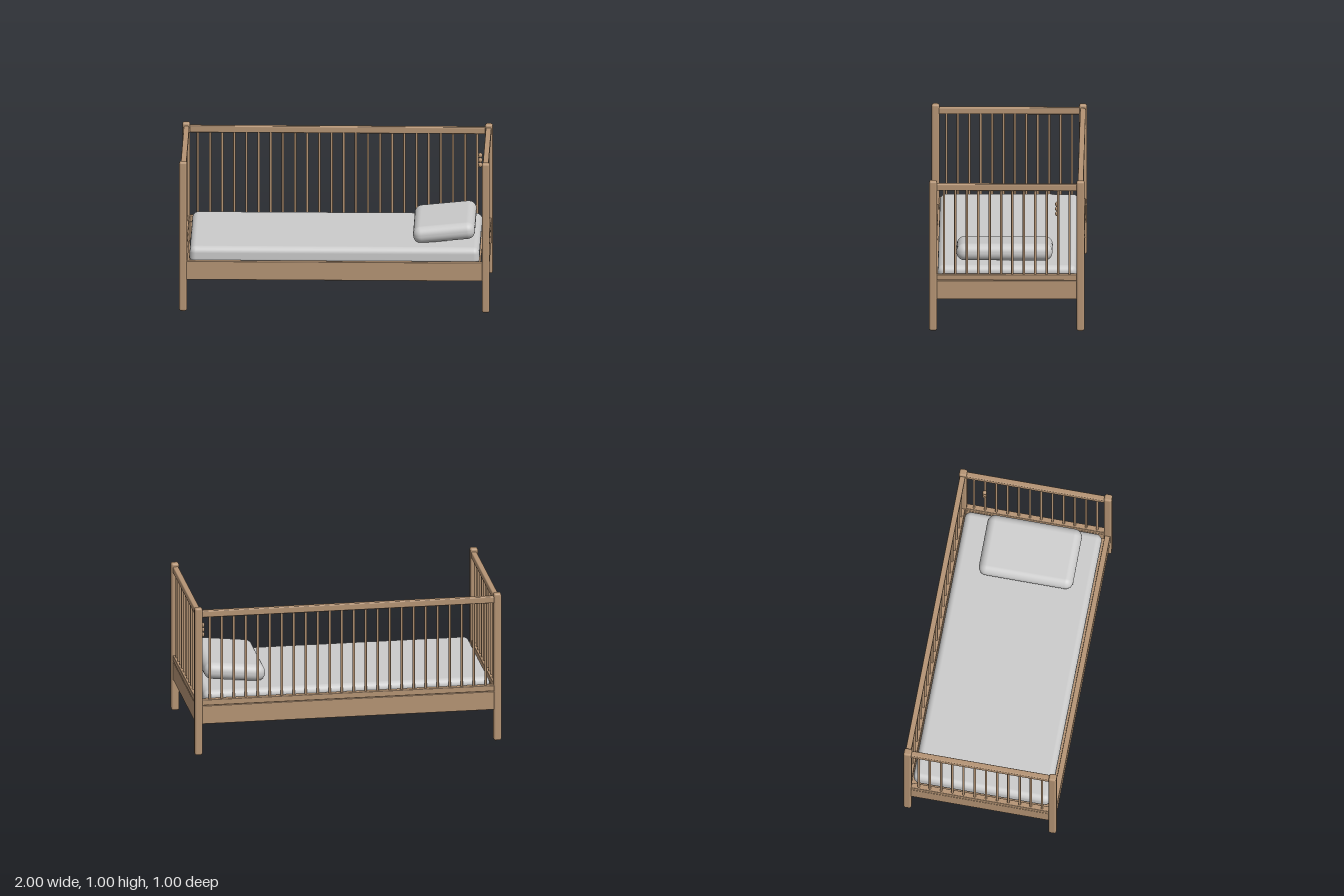
import * as THREE from 'three';
import { RoundedBoxGeometry } from 'three/addons/geometries/RoundedBoxGeometry.js';

export function createModel() {
  const bed = new THREE.Group();
  bed.name = 'toddlerBed';
  const wood = new THREE.MeshStandardMaterial({ color: 0xb59474 });
  const fabric = new THREE.MeshStandardMaterial({ color: 0xcccccc });

  function add(name, geometry, material, x, y, z, parent = bed) {
    const mesh = new THREE.Mesh(geometry, material);
    mesh.name = name;
    mesh.position.set(x, y, z);
    parent.add(mesh);
    return mesh;
  }
  const rounded = (w, h, d, r, seg = 3) => new RoundedBoxGeometry(w, h, d, seg, r);

  // Corner posts
  for (const sx of [-1, 1])
    for (const sz of [-1, 1])
      add('cornerPost', rounded(0.05, 0.995, 0.05, 0.013), wood, sx * 0.975, 0.4975, sz * 0.475);

  const SLAT_BOTTOM = 0.365, SLAT_TOP = 0.94;
  const slat = new THREE.CylinderGeometry(0.0078, 0.0078, SLAT_TOP - SLAT_BOTTOM, 16);
  const slatY = (SLAT_TOP + SLAT_BOTTOM) / 2;

  // A panel lies along x: top rail, bottom rail, round slats and the deep apron
  function panel(name, length, slatCount, slatSpan, withSlats = true) {
    const g = new THREE.Group();
    g.name = name;
    add('apron', rounded(length, 0.122, 0.036, 0.003, 2), wood, 0, 0.271, 0, g);
    if (withSlats) {
      add('topRail', rounded(length, 0.044, 0.036, 0.007), wood, 0, 0.952, 0, g);
      add('bottomRail', rounded(length, 0.038, 0.036, 0.004), wood, 0, 0.354, 0, g);
      for (let i = 0; i < slatCount; i++)
        add('slat', slat, wood, (i / (slatCount - 1) - 0.5) * slatSpan, slatY, 0, g);
    }
    bed.add(g);
    return g;
  }

  panel('frontPanel', 1.91, 0, 0, false).position.z = 0.475;
  panel('backPanel', 1.91, 24, 1.8).position.z = -0.475;
  for (const sx of [-1, 1]) {
    const end = panel('endPanel', 0.91, 12, 0.808);
    end.rotation.y = Math.PI / 2;
    end.position.x = sx * 0.973;
  }

  // Base board and bedding
  add('baseBoard', new THREE.BoxGeometry(1.88, 0.03, 0.914), wood, 0, 0.287, 0);
  add('mattress', rounded(1.868, 0.116, 0.896, 0.04, 6), fabric, 0, 0.356, -0.002);
  const pillow = add('pillow', rounded(0.4, 0.11, 0.618, 0.052, 8), fabric, 0.702, 0.474, 0.016);
  pillow.rotation.z = 0.1;

  // Three turned beads hanging inside the left end
  const bead = new THREE.SphereGeometry(0.014, 20, 14);
  for (const y of [0.762, 0.794, 0.826])
    add('bead', bead, wood, 0.923, y, -0.325).scale.y = 1.18;

  return bed;
}
